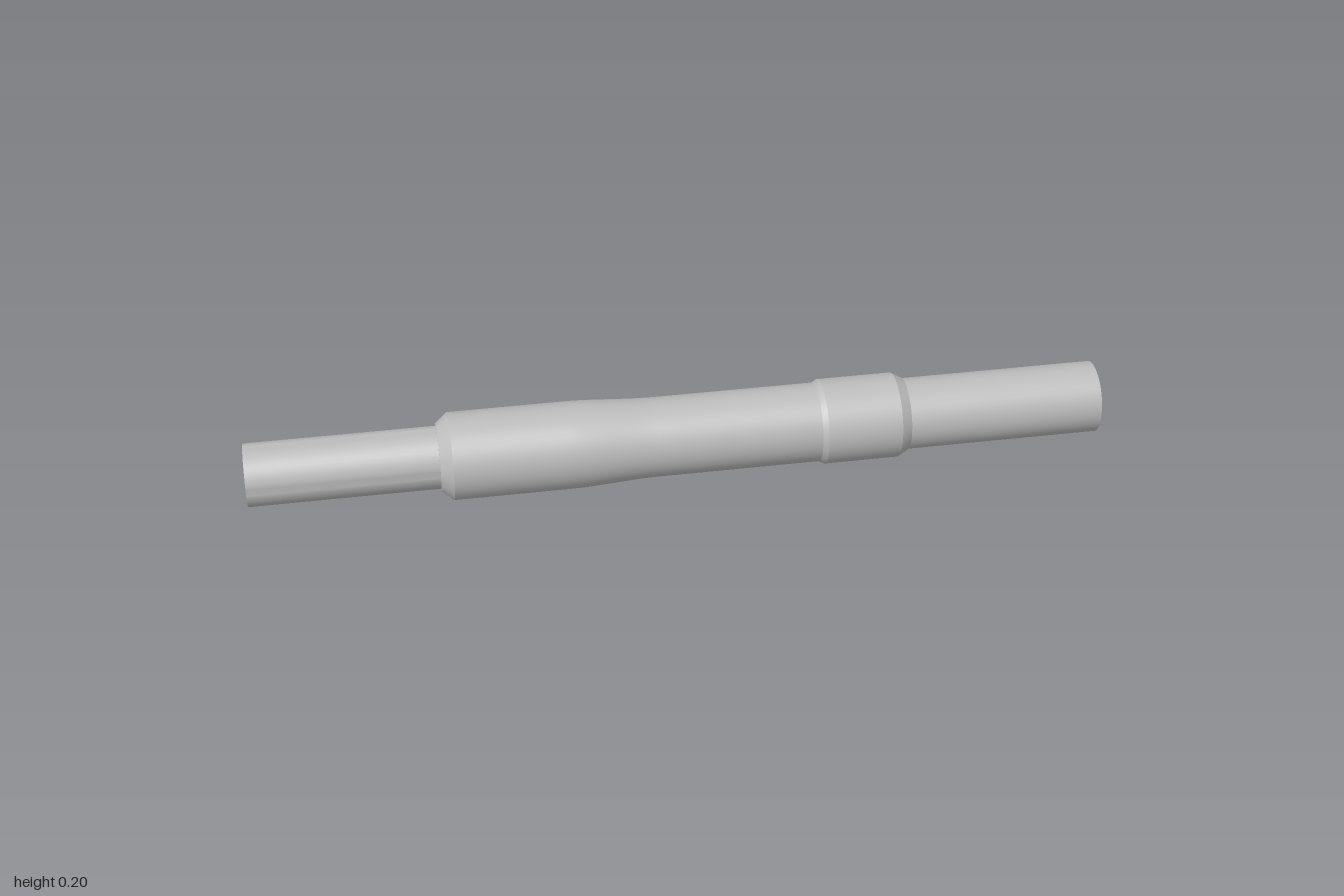
import * as THREE from 'three';
import { toCreasedNormals } from 'three/addons/utils/BufferGeometryUtils.js';

const AXIS_HEIGHT = 0.102;
const SIDES = 48;

export function createModel() {
  const model = new THREE.Group();
  model.name = 'sleevedShaft';
  const steel = new THREE.MeshStandardMaterial({ color: 0xbcbcbc });
  steel.name = 'grey steel';

  // Turns a profile of [x, radius] pairs about the long axis
  function turned(name, profile) {
    const points = profile.map(([x, r]) => new THREE.Vector2(r, x));
    const geometry = toCreasedNormals(new THREE.LatheGeometry(points, SIDES), 0.3);
    geometry.rotateZ(-Math.PI / 2);
    const mesh = new THREE.Mesh(geometry, steel);
    mesh.name = name;
    mesh.position.y = AXIS_HEIGHT;
    model.add(mesh);
  }

  // Plain rods at both ends
  turned('thinRod', [[-1, 0], [-1, 0.073], [-0.56, 0.073]]);
  turned('thickRod', [[0.54, 0.084], [1, 0.084], [1, 0]]);

  // Sleeve: chamfered wide end easing into a narrower waist
  const sleeve = [[-0.56, 0.073], [-0.56, 0.078], [-0.532, 0.102]];
  for (let i = 0; i <= 12; i++) {
    const t = i / 12;
    const ease = t * t * (3 - 2 * t);
    sleeve.push([-0.26 + 0.21 * t, 0.102 - 0.009 * ease]);
  }
  sleeve.push([0.327, 0.093]);
  turned('sleeve', sleeve);

  // Collar with a short shoulder and a chamfered outer end
  turned('collar', [[0.327, 0.093], [0.34, 0.1], [0.515, 0.1], [0.54, 0.086], [0.54, 0.084]]);

  return model;
}
